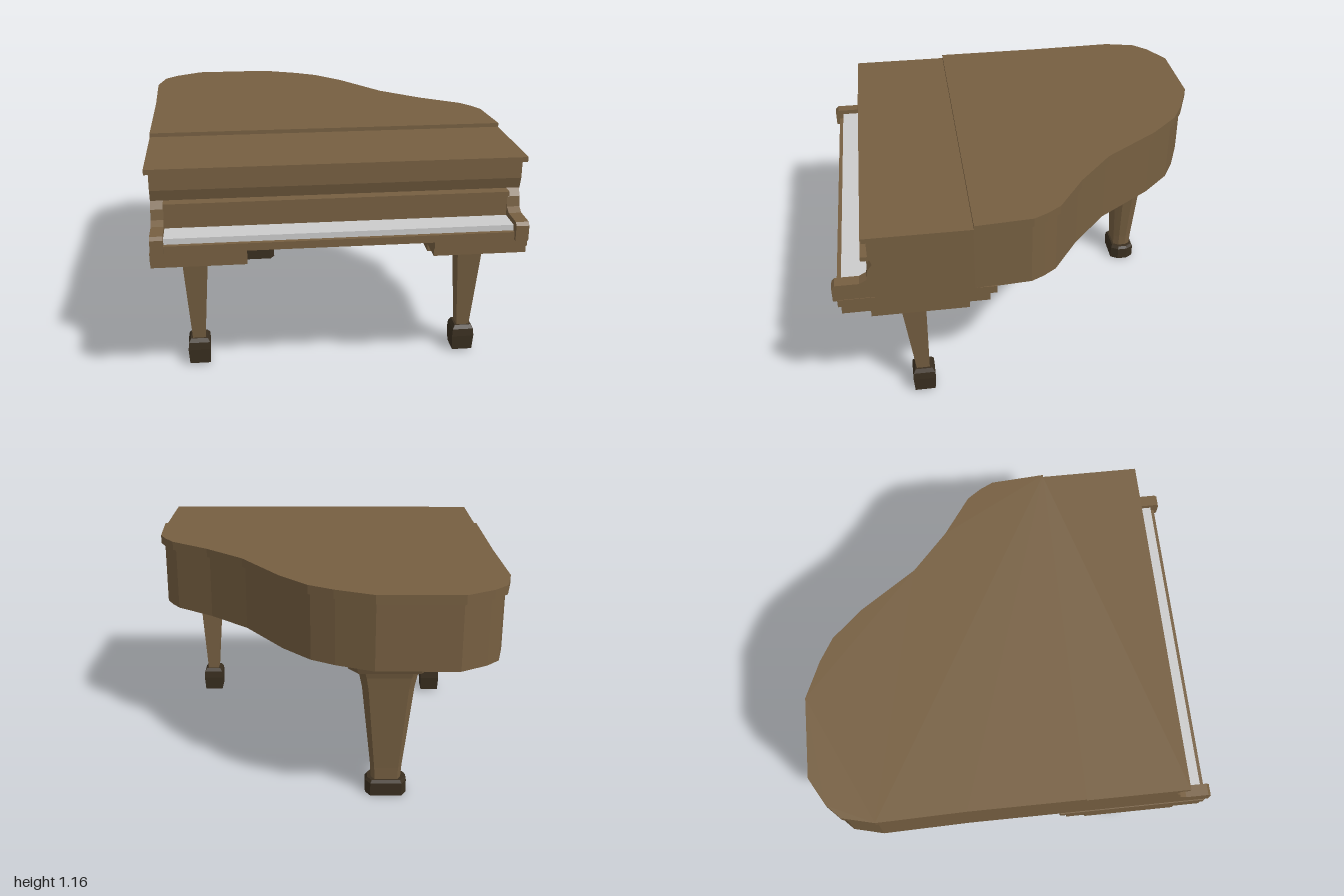
import * as THREE from 'three';

const wood = new THREE.MeshStandardMaterial({ color: 0x765f41, flatShading: true });
const darkWood = new THREE.MeshStandardMaterial({ color: 0x3a2f20, flatShading: true });
const grey = new THREE.MeshStandardMaterial({ color: 0xcccccc, flatShading: true });

// Curved rim of the lid, as [x, z], from the right front round the tail to the left front
const rim = [
  [0.905, 0.33], [0.885, 0.05], [0.85, -0.02], [0.8, -0.09], [0.6, -0.23], [0.4, -0.41],
  [0.2, -0.7], [0.06, -0.85], [-0.06, -0.92], [-0.25, -1], [-0.66, -1], [-0.8, -0.92],
  [-0.87, -0.85], [-0.91, -0.69], [-0.9, -0.25], [-0.9, 0.33],
];

function add(parent, name, geometry, material = wood) {
  const mesh = new THREE.Mesh(geometry, material);
  mesh.name = name;
  parent.add(mesh);
  return mesh;
}

// Box given by its limits on each axis
function box(x0, x1, y0, y1, z0, z1) {
  return new THREE.BoxGeometry(x1 - x0, y1 - y0, z1 - z0)
    .translate((x0 + x1) / 2, (y0 + y1) / 2, (z0 + z1) / 2);
}

// Plan outline [x, z] raised from y0 to y1
function slab(points, y0, y1) {
  const shape = new THREE.Shape(points.map(([x, z]) => new THREE.Vector2(x, -z)));
  return new THREE.ExtrudeGeometry(shape, { depth: y1 - y0, bevelEnabled: false })
    .rotateX(-Math.PI / 2).translate(0, y0, 0);
}

// Side profile [z, y] stretched from x0 to x1
function sideProfile(points, x0, x1) {
  const shape = new THREE.Shape(points.map(([z, y]) => new THREE.Vector2(-z, y)));
  return new THREE.ExtrudeGeometry(shape, { depth: x1 - x0, bevelEnabled: false })
    .rotateY(Math.PI / 2).translate(x0, 0, 0);
}

// Moves every edge of a plan outline inwards by d
function inset(points, d) {
  const n = points.length;
  const normal = (a, b) => {
    const dx = b[0] - a[0], dz = b[1] - a[1], l = Math.hypot(dx, dz);
    return [dz / l, -dx / l];
  };
  return points.map((p, i) => {
    const a = normal(points[(i + n - 1) % n], p), b = normal(p, points[(i + 1) % n]);
    const k = d / (1 + a[0] * b[0] + a[1] * b[1]);
    return [p[0] + (a[0] + b[0]) * k, p[1] + (a[1] + b[1]) * k];
  });
}

// Solid through rings of [x, y, z], listed from the bottom up
function loft(rings) {
  const n = rings[0].length, last = (rings.length - 1) * n, index = [];
  for (let r = 0; r < rings.length - 1; r++) {
    for (let i = 0; i < n; i++) {
      const a = r * n + i, b = r * n + (i + 1) % n;
      index.push(a, a + n, b, b, a + n, b + n);
    }
  }
  for (let i = 1; i < n - 1; i++) {
    index.push(0, i, i + 1, last, last + i + 1, last + i);
  }
  const geometry = new THREE.BufferGeometry();
  geometry.setAttribute('position', new THREE.Float32BufferAttribute(rings.flat(2), 3));
  geometry.setIndex(index);
  const flat = geometry.toNonIndexed();
  flat.computeVertexNormals();
  return flat;
}

const rectRing = (y, x0, x1, z0, z1) => [[x1, y, z0], [x1, y, z1], [x0, y, z1], [x0, y, z0]];

// Long octagon with half sizes hx, hz
function octRing(y, hx, hz, cx, cz) {
  const a = 0.76 * hx, b = 0.4 * hz;
  return [[hx, -b], [hx, b], [a, hz], [-a, hz], [-hx, b], [-hx, -b], [-a, -hz], [a, -hz]]
    .map(([x, z]) => [cx + x, y, cz + z]);
}

// One front leg with its stepped block; side is 1 or -1
function frontLeg(side) {
  const leg = new THREE.Group();
  const span = (a, b) => (side > 0 ? [a, b] : [-b, -a]);
  const ring = (y, x0, x1, z0, z1) => rectRing(y, ...span(x0, x1), z0, z1);
  const [x0, x1] = span(0.44, 0.885);
  add(leg, 'upperBlock', box(x0, x1, 0.745, 0.785, 0.225, 0.98));
  add(leg, 'middleBlock', box(x0, x1, 0.705, 0.745, 0.26, 0.965));
  add(leg, 'lowerBlock', box(x0, x1, 0.67, 0.705, 0.36, 0.83));
  add(leg, 'legShaft', loft([
    ring(0.15, 0.66, 0.725, 0.57, 0.638),
    ring(0.6, 0.63, 0.755, 0.567, 0.692),
    ring(0.635, 0.57, 0.8, 0.51, 0.745),
    ring(0.67, 0.44, 0.885, 0.36, 0.83),
  ]));
  add(leg, 'foot', loft([
    ring(0.01, 0.64, 0.745, 0.548, 0.654),
    ring(0.09, 0.635, 0.75, 0.542, 0.66),
    ring(0.13, 0.638, 0.747, 0.545, 0.657),
    ring(0.15, 0.65, 0.735, 0.557, 0.645),
  ]), darkWood);
  return leg;
}

function backLeg() {
  const leg = new THREE.Group();
  const x = -0.335;
  // Collar steps: y0, y1, lower and upper half sizes, centre z
  const steps = [
    [0.665, 0.705, 0.145, 0.085, 0.155, 0.095, -0.71],
    [0.705, 0.745, 0.2, 0.11, 0.21, 0.125, -0.72],
    [0.745, 0.785, 0.22, 0.13, 0.22, 0.14, -0.725],
  ];
  for (const [y0, y1, ax, az, bx, bz, z] of steps) {
    add(leg, 'collar', loft([octRing(y0, ax, az, x, z), octRing(y1, bx, bz, x, z)]));
  }
  add(leg, 'legShaft', loft([
    octRing(0.08, 0.075, 0.05, x, -0.703),
    octRing(0.15, 0.08, 0.052, x, -0.703),
    octRing(0.6, 0.13, 0.078, x, -0.71),
    octRing(0.67, 0.145, 0.085, x, -0.71),
  ]));
  add(leg, 'foot', loft([
    octRing(0, 0.105, 0.068, x, -0.703),
    octRing(0.07, 0.105, 0.068, x, -0.703),
    octRing(0.085, 0.095, 0.06, x, -0.703),
  ]), darkWood);
  return leg;
}

export function createModel() {
  const piano = new THREE.Group();
  piano.name = 'grandPiano';

  // Lid in two parts, over the slightly smaller case
  add(piano, 'mainLid', slab(rim, 1.115, 1.16));
  add(piano, 'frontLid', box(-0.9, 0.905, 1.115, 1.14, 0.33, 0.84));
  const caseOutline = [[0.905, 0.82], ...rim, [-0.9, 0.82]];
  add(piano, 'case', slab(inset(caseOutline, 0.02), 0.78, 1.115));

  // Front beam with its undercut, and the ledge below
  add(piano, 'frontBeam', sideProfile(
    [[0.79, 1.115], [0.82, 1.115], [0.82, 1.03], [0.803, 0.975], [0.79, 0.975]], -0.88, 0.885));
  add(piano, 'ledge', box(-0.82, 0.82, 0.952, 0.975, 0.79, 0.858));
  add(piano, 'fallboard', box(-0.82, 0.82, 0.8, 0.952, 0.79, 0.83));

  // Keyboard
  add(piano, 'keybed', box(-0.82, 0.82, 0.78, 0.81, 0.79, 0.96));
  add(piano, 'keySlip', box(-0.82, 0.82, 0.78, 0.817, 0.958, 0.98));
  add(piano, 'keys', box(-0.82, 0.82, 0.81, 0.845, 0.83, 0.957), grey);

  // Cheeks at both ends of the keyboard
  const cheek = [
    [0.79, 0.78], [1, 0.78], [1, 0.855], [0.985, 0.87], [0.87, 0.87], [0.835, 0.89],
    [0.828, 0.94], [0.803, 0.975], [0.79, 0.975],
  ];
  for (const [x0, x1] of [[0.82, 0.882], [-0.88, -0.82]]) {
    add(piano, 'cheek', sideProfile(cheek, x0, x1));
  }

  // Legs
  for (const side of [1, -1]) {
    const leg = frontLeg(side);
    leg.name = side > 0 ? 'leftFrontLeg' : 'rightFrontLeg';
    piano.add(leg);
  }
  const rear = backLeg();
  rear.name = 'backLeg';
  piano.add(rear);

  return piano;
}
